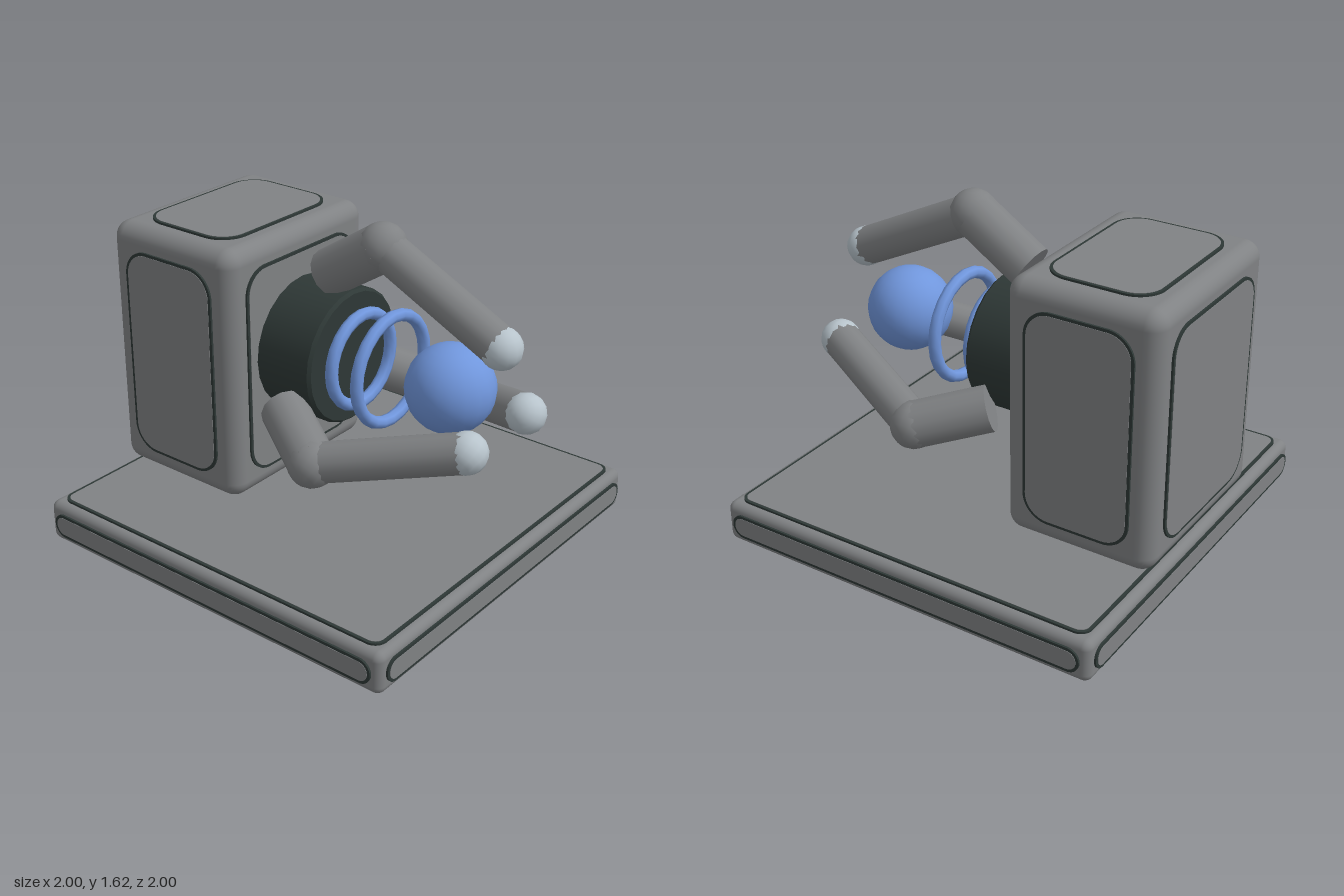
import * as THREE from 'three';
import { RoundedBoxGeometry } from 'three/addons/geometries/RoundedBoxGeometry.js';

const material = (name, color) => {
  const m = new THREE.MeshStandardMaterial({ color });
  m.name = name;
  return m;
};

export function createModel() {
  const grey = material('grey shell', 0x808284);
  const dark = material('dark trim', 0x2e3836);
  const blue = material('blue glow', 0x7096dc);
  const pale = material('pale tip', 0xb8c4cc);

  const model = new THREE.Group();
  model.name = 'gripperStation';

  function add(parent, name, geometry, mat, x = 0, y = 0, z = 0) {
    const mesh = new THREE.Mesh(geometry, mat);
    mesh.name = name;
    mesh.position.set(x, y, z);
    parent.add(mesh);
    return mesh;
  }

  // Flat rounded rectangle facing +z, its back on z = 0
  function plate(w, h, r, depth) {
    const x = w / 2, y = h / 2;
    r = Math.min(r, x, y) - 0.001;
    const s = new THREE.Shape();
    s.absarc(x - r, y - r, r, 0, Math.PI / 2);
    s.absarc(r - x, y - r, r, Math.PI / 2, Math.PI);
    s.absarc(r - x, r - y, r, Math.PI, Math.PI * 1.5);
    s.absarc(x - r, r - y, r, Math.PI * 1.5, Math.PI * 2);
    return new THREE.ExtrudeGeometry(s, { depth, bevelEnabled: false, curveSegments: 6 });
  }

  // Rounded block with a dark-edged raised panel on all six faces
  function panelledBlock(name, size, center, radius, margin, panelRadius) {
    const [w, h, d] = size;
    const block = new THREE.Group();
    block.name = name;
    block.position.set(...center);
    model.add(block);
    add(block, name + 'Body', new RoundedBoxGeometry(w, h, d, 4, radius), grey);
    const faces = [
      ['front', w, h, d, 0, 0], ['back', w, h, d, 0, Math.PI],
      ['left', d, h, w, 0, Math.PI / 2], ['right', d, h, w, 0, -Math.PI / 2],
      ['top', w, d, h, -Math.PI / 2, 0], ['bottom', w, d, h, Math.PI / 2, 0],
    ];
    for (const [side, pw, ph, reach, rx, ry] of faces) {
      const panel = new THREE.Group();
      panel.name = side + 'Panel';
      panel.rotation.set(rx, ry, 0);
      block.add(panel);
      const a = pw - 2 * margin, b = ph - 2 * margin;
      add(panel, 'panelEdge', plate(a, b, panelRadius, 0.014), dark, 0, 0, reach / 2 - 0.004);
      add(panel, 'panelFace', plate(a - 0.028, b - 0.028, panelRadius - 0.014, 0.004), grey,
        0, 0, reach / 2 + 0.008);
    }
  }

  panelledBlock('base', [1.976, 0.206, 1.976], [0, 0.115, 0], 0.04, 0.043, 0.06);
  panelledBlock('housing', [0.976, 1.246, 0.746], [0, 0.865, -0.615], 0.08, 0.107, 0.13);

  // Everything on the horizontal axis of the drum
  const hand = new THREE.Group();
  hand.name = 'hand';
  hand.position.y = 0.925;
  model.add(hand);

  const drum = add(hand, 'drum', new THREE.CylinderGeometry(0.325, 0.325, 0.32, 24), dark, 0, 0, -0.1);
  drum.rotation.x = Math.PI / 2;
  const rim = add(hand, 'drumRim', new THREE.CylinderGeometry(0.312, 0.325, 0.015, 24), dark, 0, 0, 0.0675);
  rim.rotation.x = Math.PI / 2;

  add(hand, 'innerRing', new THREE.TorusGeometry(0.22, 0.03, 8, 24), blue, 0, 0, 0.12);
  add(hand, 'outerRing', new THREE.TorusGeometry(0.255, 0.03, 8, 24), blue, 0, 0, 0.29);
  add(hand, 'orb', new THREE.SphereGeometry(0.207, 20, 14), blue, 0, 0.005, 0.617);

  // Straight round limb between two points
  function limb(parent, name, from, to, r) {
    const dir = to.clone().sub(from);
    const mid = from.clone().add(to).multiplyScalar(0.5);
    const mesh = add(parent, name, new THREE.CylinderGeometry(r, r, dir.length(), 14), grey, mid.x, mid.y, mid.z);
    mesh.quaternion.setFromUnitVectors(new THREE.Vector3(0, 1, 0), dir.normalize());
  }

  // Three bent fingers spread evenly round the axis
  const root = new THREE.Vector3(0, 0.38, -0.07);
  const elbow = new THREE.Vector3(0, 0.577, 0.235);
  const tip = new THREE.Vector3(0, 0.27, 0.868);
  for (let i = 0; i < 3; i++) {
    const finger = new THREE.Group();
    finger.name = 'finger' + (i + 1);
    finger.rotation.z = (i * Math.PI * 2) / 3;
    hand.add(finger);
    limb(finger, 'lowerSegment', root, elbow, 0.112);
    limb(finger, 'upperSegment', elbow, tip, 0.094);
    add(finger, 'knuckle', new THREE.SphereGeometry(0.114, 14, 10), grey, ...elbow.toArray());
    add(finger, 'fingertip', new THREE.SphereGeometry(0.097, 14, 10), pale, ...tip.toArray());
  }

  return model;
}
